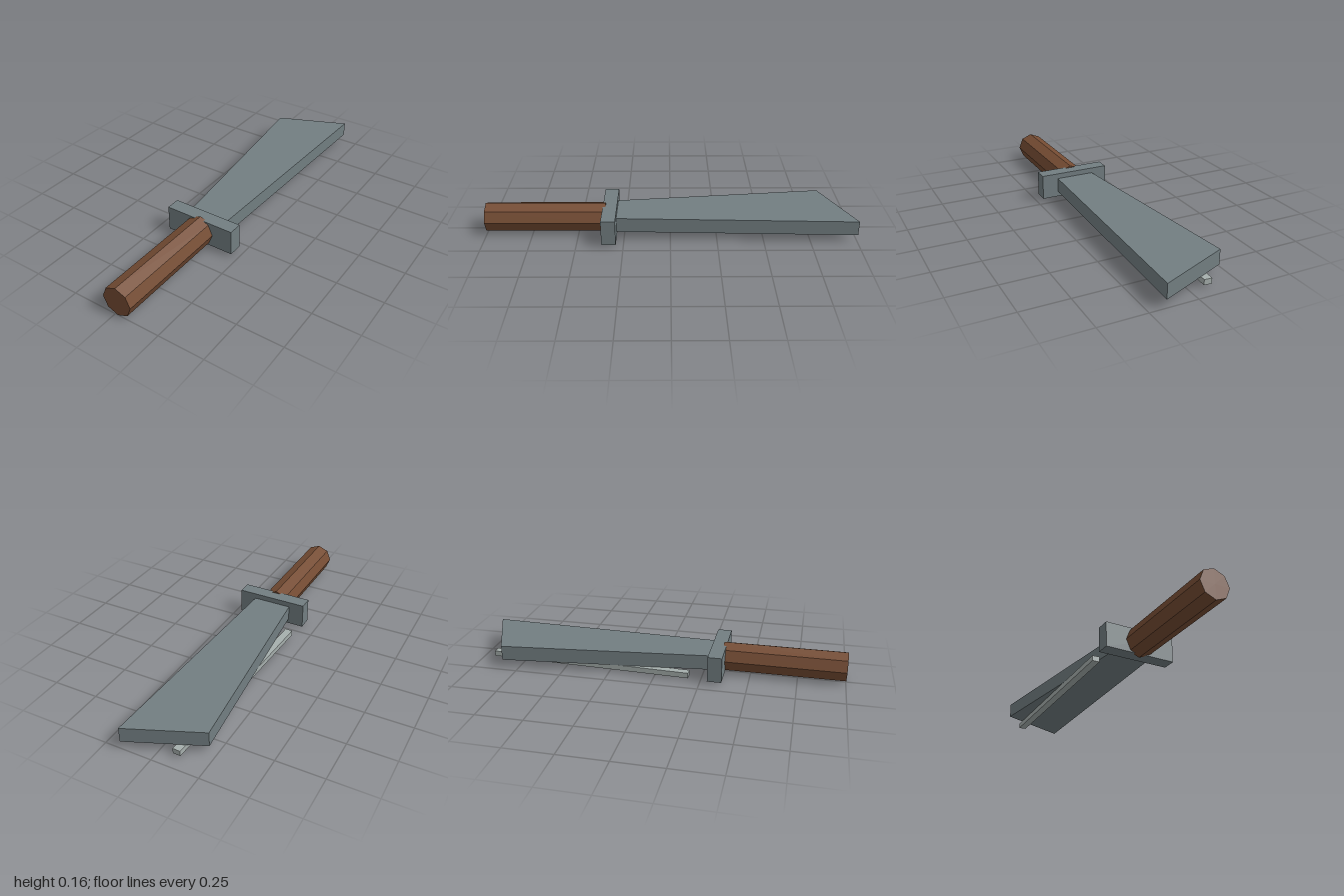
import * as THREE from 'three';

const AXIS_X = 0.017, AXIS_Y = 0.082;

function part(name, geometry, color) {
  const mesh = new THREE.Mesh(geometry, new THREE.MeshStandardMaterial({ color, flatShading: true }));
  mesh.name = name;
  return mesh;
}

// Flat slab from a plan outline of [x, z] corners, between two heights
function slab(outline, bottom, top) {
  const shape = new THREE.Shape(outline.map(([x, z]) => new THREE.Vector2(x, -z)));
  return new THREE.ExtrudeGeometry(shape, { depth: top - bottom, bevelEnabled: false })
    .rotateX(-Math.PI / 2)
    .translate(0, bottom, 0);
}

export function createModel() {
  const group = new THREE.Group();
  group.name = 'machete';

  // Eight-sided wooden grip, running along z
  const handle = part('handle', new THREE.CylinderGeometry(0.081, 0.081, 0.65, 8).rotateX(Math.PI / 2), 0x754c33);
  handle.position.set(AXIS_X, AXIS_Y, 0.675);

  // Cross guard
  const guard = part('guard', new THREE.BoxGeometry(0.393, 0.138, 0.076), 0x727e81);
  guard.position.set(AXIS_X, AXIS_Y + 0.001, 0.327);

  // Blade widening to a slanted tip
  const blade = part('blade', slab([[-0.092, 0.3], [0.121, 0.3], [0.165, -1], [-0.215, -0.84]], 0.043, 0.123), 0x727e81);

  // Pale cutting-edge strip under the blade, slightly askew
  const edge = part('edgeStrip', slab([[-0.163, 0.185], [-0.122, 0.187], [-0.073, -0.928], [-0.114, -0.93]], 0.014, 0.043), 0xa6afad);

  group.add(handle, guard, blade, edge);
  return group;
}
